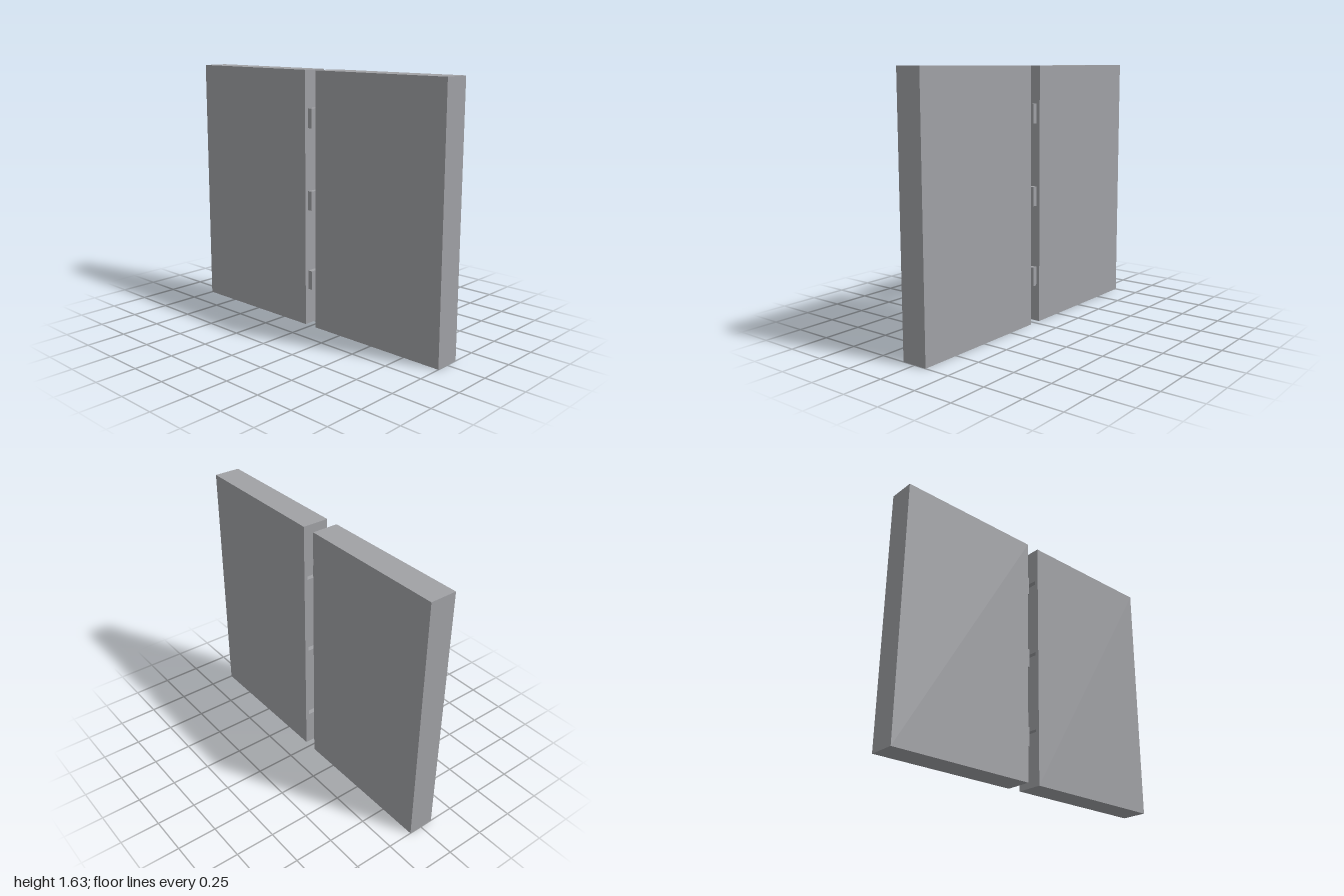
import * as THREE from 'three';
import { mergeGeometries } from 'three/addons/utils/BufferGeometryUtils.js';

const H = 1.632, T = 0.17, INNER = 0.044, W = 1 - INNER; // panel size and half gap
const TAB = 0.123, DEPTH = 0.032;                        // tab and socket size
const LEVELS = [-0.52, 0, 0.52];                         // heights from panel centre

// Box with its -x face left out; inward turns it into a pocket
function openBox(w, h, d, inward = false) {
  const g = new THREE.BoxGeometry(w, h, d);
  const index = Array.from(g.index.array);
  index.splice(6, 6);
  if (inward) {
    index.reverse();
    const n = g.attributes.normal;
    for (let i = 0; i < n.count; i++) n.setXYZ(i, -n.getX(i), -n.getY(i), -n.getZ(i));
  }
  g.setIndex(index);
  g.clearGroups();
  return g;
}

// Panel with square sockets cut into its -x edge
function socketPanelGeometry() {
  const edge = new THREE.Shape([[-1, -1], [1, -1], [1, 1], [-1, 1]]
    .map(([a, b]) => new THREE.Vector2(a * T / 2, b * H / 2)));
  const parts = [openBox(W, H, T)];
  for (const y of LEVELS) {
    edge.holes.push(new THREE.Path([[-1, -1], [-1, 1], [1, 1], [1, -1]]
      .map(([a, b]) => new THREE.Vector2(a * TAB / 2, y + b * TAB / 2))));
    parts.push(openBox(DEPTH, TAB, TAB, true).translate(-W / 2 + DEPTH / 2, y, 0));
  }
  parts.push(new THREE.ShapeGeometry(edge).rotateY(-Math.PI / 2).translate(-W / 2, 0, 0));
  return mergeGeometries(parts);
}

export function createModel() {
  const model = new THREE.Group();
  const material = new THREE.MeshStandardMaterial({ color: 0xa0a1a5 });
  const add = (name, geometry, x, y) => {
    const mesh = new THREE.Mesh(geometry, material);
    mesh.name = name;
    mesh.position.set(x, y, 0);
    model.add(mesh);
  };

  // Two slabs facing each other across a narrow gap
  add('tabPanel', new THREE.BoxGeometry(W, H, T), -INNER - W / 2, H / 2);
  add('socketPanel', socketPanelGeometry(), INNER + W / 2, H / 2);

  // Tabs that fit the sockets
  LEVELS.forEach((y, i) => add(`tab${i + 1}`,
    new THREE.BoxGeometry(DEPTH, TAB, TAB), -INNER + DEPTH / 2, H / 2 + y));

  return model;
}
